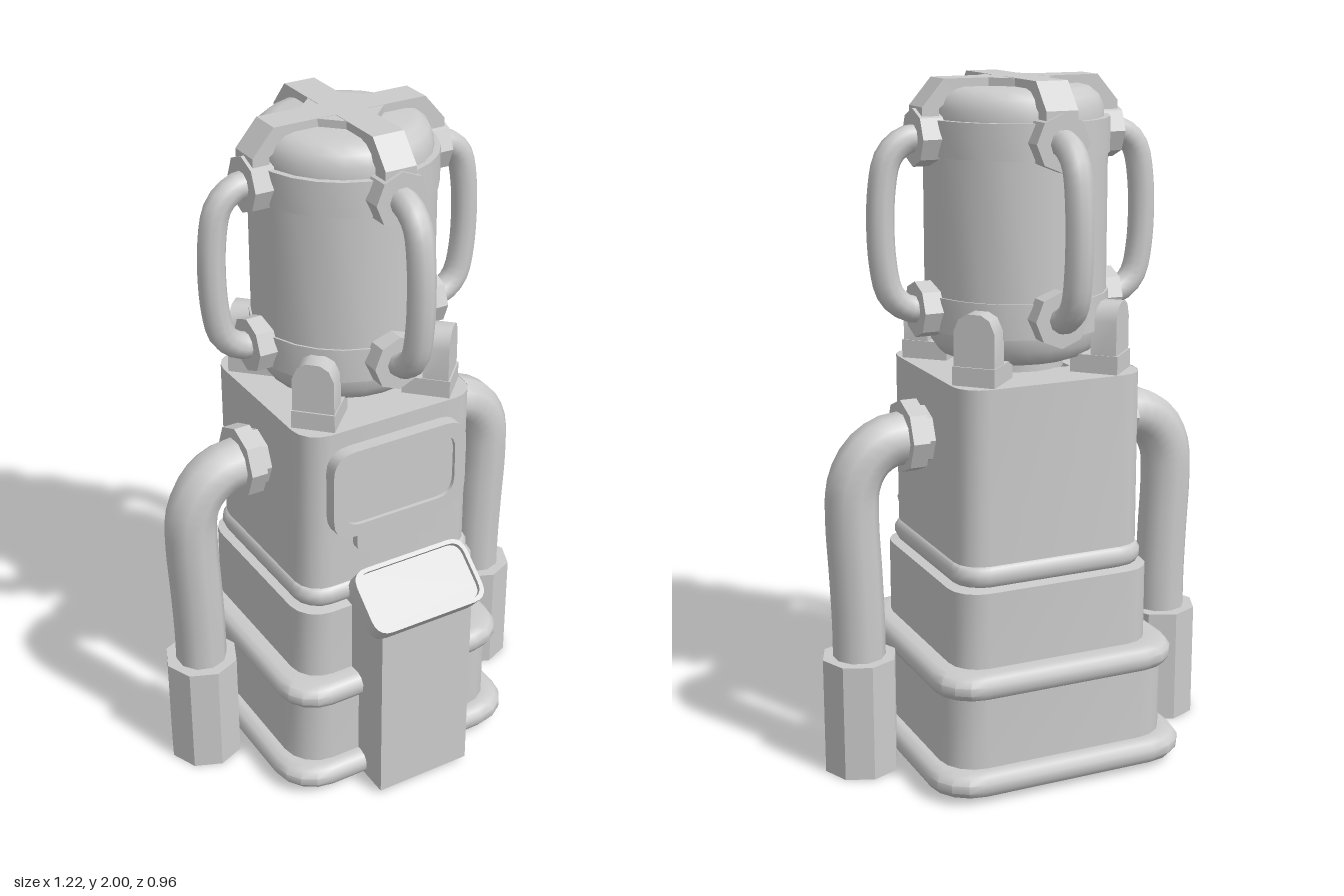
import * as THREE from 'three';
import { toCreasedNormals } from 'three/addons/utils/BufferGeometryUtils.js';

const material = new THREE.MeshStandardMaterial({ color: 0xcccccc, side: THREE.DoubleSide });
const CENTER_Z = -0.04;

function add(parent, name, geometry, crease = 0.7) {
  const mesh = new THREE.Mesh(toCreasedNormals(geometry, crease), material);
  mesh.name = name;
  parent.add(mesh);
  return mesh;
}

// Rounded square cross-sections [half width, y] joined upwards
function roundedStack(profile, segments = 4) {
  const positions = [], index = [], count = 4 * (segments + 1);
  for (const [half, y] of profile) {
    const r = half * 0.42 - 0.04;
    for (let c = 0; c < 4; c++) for (let s = 0; s <= segments; s++) {
      const a = (c + s / segments) * Math.PI / 2, mid = (c + 0.5) * Math.PI / 2;
      positions.push(Math.sign(Math.cos(mid)) * (half - r) + r * Math.cos(a), y,
        Math.sign(Math.sin(mid)) * (half - r) + r * Math.sin(a));
    }
  }
  for (let i = 0; i < profile.length - 1; i++) for (let j = 0; j < count; j++) {
    const a = i * count + j, b = i * count + (j + 1) % count;
    index.push(a, a + count, b, a + count, b + count, b);
  }
  const geometry = new THREE.BufferGeometry();
  geometry.setAttribute('position', new THREE.Float32BufferAttribute(positions, 3));
  geometry.setIndex(index);
  return geometry;
}

// Half-round bead between two heights
function bead(half, bulge, y0, y1) {
  return [0, 1, 2, 3, 4, 5].map(i => {
    const a = i / 5 * Math.PI;
    return [half + bulge * Math.sin(a), (y0 + y1) / 2 - (y1 - y0) / 2 * Math.cos(a)];
  });
}

function polygon(points) {
  return new THREE.Shape(points.map(p => new THREE.Vector2(...p)));
}

function roundedRect(w, h, r, Type = THREE.Shape) {
  const s = new Type(), x = w / 2, y = h / 2;
  s.moveTo(-x + r, -y);
  s.lineTo(x - r, -y); s.quadraticCurveTo(x, -y, x, -y + r);
  s.lineTo(x, y - r); s.quadraticCurveTo(x, y, x - r, y);
  s.lineTo(-x + r, y); s.quadraticCurveTo(-x, y, -x, y - r);
  s.lineTo(-x, -y + r); s.quadraticCurveTo(-x, -y, -x + r, -y);
  return s;
}

function extrude(shape, depth) {
  return new THREE.ExtrudeGeometry(shape, { depth, bevelEnabled: false, curveSegments: 5 });
}

// Slab with a raised rim around a recessed face
function framedPanel(name, w, h, r, depth, rim, recess) {
  const group = new THREE.Group();
  group.name = name;
  const frame = roundedRect(w, h, r);
  frame.holes.push(roundedRect(w - 2 * rim, h - 2 * rim, r * 0.8, THREE.Path));
  add(group, 'frame', extrude(frame, depth));
  add(group, 'panelFace', extrude(roundedRect(w - rim, h - rim, r * 0.85), depth - recess));
  return group;
}

// Octagonal collar along x
function collar(parent, name, radius, x0, x1, y) {
  const geometry = new THREE.CylinderGeometry(radius, radius, x1 - x0, 8);
  geometry.rotateZ(Math.PI / 2).translate((x0 + x1) / 2, y, 0);
  add(parent, name, geometry, 0.5);
}

function pipe(parent, name, points, radius, steps) {
  const curve = new THREE.CatmullRomCurve3(points.map(p => new THREE.Vector3(p[0], p[1], 0)));
  add(parent, name, new THREE.TubeGeometry(curve, steps, radius, 10), 0.9);
}

export function createModel() {
  const model = new THREE.Group();
  model.name = 'machine';
  const core = new THREE.Group();
  core.name = 'core';
  core.position.z = CENTER_Z;
  model.add(core);

  // Stepped hollow body with three beads
  add(core, 'body', roundedStack([
    [0.33, 0.09], [0.33, 0.015],
    ...bead(0.365, 0.035, 0.015, 0.09), [0.35, 0.09], [0.35, 0.3],
    ...bead(0.345, 0.032, 0.3, 0.375), [0.31, 0.375], [0.31, 0.6],
    ...bead(0.275, 0.022, 0.605, 0.67), [0.285, 0.67], [0.285, 1.18],
  ]));
  const lid = roundedStack([[0.285, 1.179], [0.12, 1.18]]);
  add(core, 'bodyTop', lid);

  // Tank on a short neck
  add(core, 'neck', new THREE.CylinderGeometry(0.14, 0.14, 0.06, 16).translate(0, 1.2, 0));
  const tankProfile = [
    [0, 1.21], [0.18, 1.21], [0.22, 1.225], [0.245, 1.26], [0.25, 1.3], [0.268, 1.3], [0.268, 1.4],
    [0.262, 1.4], [0.262, 1.79], [0.268, 1.79], [0.268, 1.89], [0.25, 1.89], [0.248, 1.92],
    [0.235, 1.95], [0.21, 1.97], [0.18, 1.977], [0, 1.977],
  ].map(p => new THREE.Vector2(...p));
  add(core, 'tank', new THREE.LatheGeometry(tankProfile, 24));

  // Cross-shaped cap
  const half = [[0.3, 1.87], [0.3, 1.925], [0.235, 2]];
  const inner = [[0.2, 1.96], [0.25, 1.92], [0.25, 1.87]];
  const strap = polygon([...half, ...half.map(([x, y]) => [-x, y]).reverse(),
    ...inner.map(([x, y]) => [-x, y]).reverse(), ...inner]);
  for (let i = 0; i < 2; i++) {
    const mesh = add(core, 'capStrap', extrude(strap, 0.095).translate(0, 0, -0.0475), 0.3);
    mesh.rotation.y = i * Math.PI / 2;
  }
  add(core, 'capHub', new THREE.CylinderGeometry(0.115, 0.115, 0.04, 8).rotateY(Math.PI / 8)
    .translate(0, 1.979, 0), 0.3);

  for (let i = 0; i < 4; i++) {
    // Looped pipe with two collars on each side of the tank
    const loop = new THREE.Group();
    loop.name = 'tankPipe';
    loop.rotation.y = i * Math.PI / 2;
    core.add(loop);
    for (const y of [1.36, 1.84]) collar(loop, 'tankCollar', 0.08, 0.24, 0.31, y);
    pipe(loop, 'loopPipe', [[0.27, 1.84], [0.33, 1.835], [0.38, 1.795], [0.404, 1.7],
      [0.404, 1.5], [0.38, 1.405], [0.33, 1.365], [0.27, 1.36]], 0.039, 24);

    // Clamp at each corner of the body top
    const clamp = new THREE.Group();
    clamp.name = 'cornerClamp';
    clamp.rotation.y = (i + 0.5) * Math.PI / 2;
    core.add(clamp);
    const upright = polygon([[-0.06, 1.2], [0.06, 1.2], [0.06, 1.33], [0.045, 1.365],
      [0.02, 1.38], [-0.02, 1.38], [-0.045, 1.365], [-0.06, 1.33]]);
    add(clamp, 'clampUpright', extrude(upright, 0.075).rotateY(Math.PI / 2).translate(0.25, 0, 0));
    add(clamp, 'clampFoot', new THREE.BoxGeometry(0.14, 0.055, 0.125).translate(0.26, 1.205, 0));
  }

  // Side arms: collar, bent pipe and sleeve
  for (const side of [0, 1]) {
    const arm = new THREE.Group();
    arm.name = side ? 'rightArm' : 'leftArm';
    arm.rotation.y = side * Math.PI;
    core.add(arm);
    collar(arm, 'innerCollar', 0.085, 0.27, 0.32, 0.995);
    collar(arm, 'outerCollar', 0.107, 0.31, 0.36, 0.995);
    pipe(arm, 'armPipe', [[0.33, 0.99], [0.4, 0.985], [0.465, 0.945], [0.505, 0.87], [0.512, 0.77],
      [0.505, 0.6], [0.5, 0.45], [0.5, 0.3]], 0.077, 24);
    add(arm, 'armSleeve', new THREE.CylinderGeometry(0.112, 0.112, 0.35, 8).rotateY(Math.PI / 2)
      .translate(0.5, 0.175, 0), 0.5);
  }

  // Front screen and the tab below it
  const screen = framedPanel('screen', 0.44, 0.28, 0.07, 0.045, 0.037, 0.012);
  screen.position.set(0, 0.99, 0.24);
  model.add(screen);
  const tab = add(model, 'screenTab', extrude(roundedRect(0.27, 0.1, 0.035), 0.03));
  tab.position.set(0, 0.825, 0.24);

  // Pedestal with a tilted control tray
  const post = polygon([[0, 0.015], [0.44, 0.015], [0.44, 0.6], [0.3, 0.72], [0.255, 0.66], [0, 0.66]]);
  add(model, 'pedestal', extrude(post, 0.305).rotateY(-Math.PI / 2).translate(0.1525, 0, 0), 0.3);
  const tray = framedPanel('controlTray', 0.376, 0.2, 0.05, 0.058, 0.013, 0.015);
  tray.position.set(0, 0.65, 0.362);
  tray.rotation.x = -0.88;
  model.add(tray);

  return model;
}
